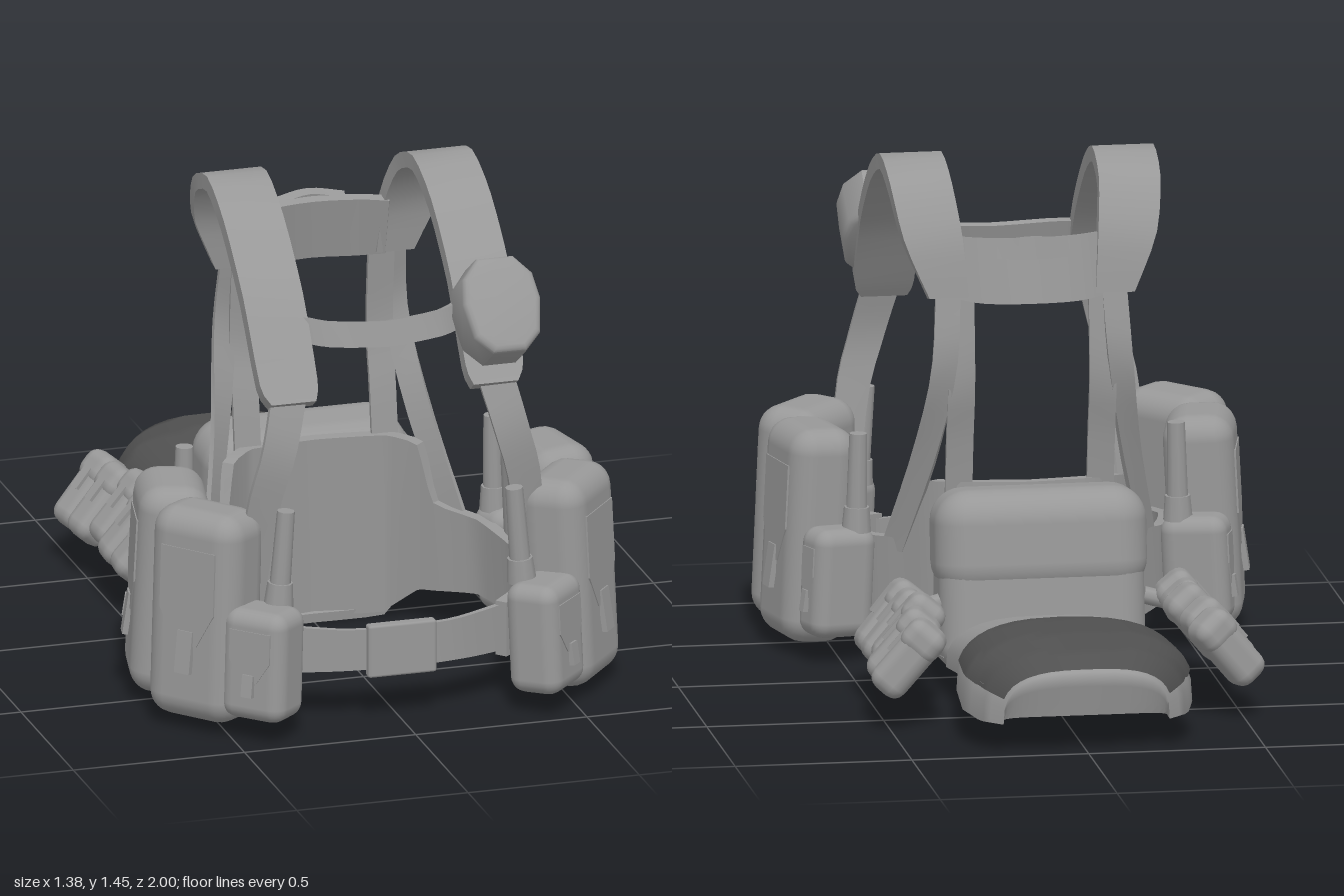
import * as THREE from 'three';
import { toCreasedNormals } from 'three/addons/utils/BufferGeometryUtils.js';
import { RoundedBoxGeometry } from 'three/addons/geometries/RoundedBoxGeometry.js';
import { ParametricGeometry } from 'three/addons/geometries/ParametricGeometry.js';

const cloth = new THREE.MeshStandardMaterial({ color: 0x989898 });
const sheet = new THREE.MeshStandardMaterial({ color: 0x989898, side: THREE.DoubleSide });
const darkSheet = new THREE.MeshStandardMaterial({ color: 0x505050, side: THREE.DoubleSide });

function add(parent, name, geo, pos = [0, 0, 0], rot = [0, 0, 0], mat = cloth) {
  const m = new THREE.Mesh(geo, mat);
  m.name = name;
  m.position.set(...pos);
  m.rotation.set(...rot);
  parent.add(m);
  return m;
}

function addGroup(parent, name, pos, rot) {
  const g = new THREE.Group();
  g.name = name;
  g.position.set(...pos);
  g.rotation.set(...rot, 'YXZ');
  parent.add(g);
  return g;
}

const rounded = (w, h, d, r, seg = 2) => new RoundedBoxGeometry(w, h, d, seg, r);

const polygon = points => new THREE.Shape(points.map(p => new THREE.Vector2(...p)));

// Flat band: each row is a centre [x, y, z] followed by a half-width vector [x, y, z]
function band(rows, thick, steps, tension = 0.5) {
  const curve = o => new THREE.CatmullRomCurve3(
    rows.map(r => new THREE.Vector3(r[o], r[o + 1], r[o + 2])), false, 'catmullrom', tension);
  const path = curve(0), wide = curve(3);
  const rings = [];
  for (let i = 0; i <= steps; i++) {
    const t = i / steps, p = path.getPoint(t), w = wide.getPoint(t);
    const n = path.getTangent(t).cross(w).normalize().multiplyScalar(thick / 2);
    rings.push([[1, 1], [-1, 1], [-1, -1], [1, -1]].map(
      ([a, b]) => p.clone().addScaledVector(w, a).addScaledVector(n, b)));
  }
  const out = [];
  const quad = (a, b, c, d) => [a, b, c, a, c, d].forEach(v => out.push(v.x, v.y, v.z));
  for (let i = 0; i < steps; i++) for (let j = 0; j < 4; j++) {
    const k = (j + 1) % 4, A = rings[i], B = rings[i + 1];
    quad(A[j], A[k], B[k], B[j]);
  }
  const S = rings[0], E = rings[steps];
  quad(S[3], S[2], S[1], S[0]);
  quad(E[0], E[1], E[2], E[3]);
  const g = new THREE.BufferGeometry();
  g.setAttribute('position', new THREE.Float32BufferAttribute(out, 3));
  return toCreasedNormals(g, 0.6);
}

const mirrorRows = rows => [...rows.slice(1).reverse().map(r => [-r[0], r[1], r[2], -r[3], r[4], r[5]]), ...rows];

// Belt pouch facing outward at angle a, leaning in at the top, with flap and closing tab
function pouch(parent, name, pos, a, [w, h, d], r) {
  const g = addGroup(parent, name, pos, [-0.05, a, 0]);
  add(g, 'pouchBody', rounded(w, h, d, r, 3));
  const fw = w / 2 - r * 0.8;
  const outline = polygon([[-fw, h * 0.33], [-fw, 0.02], [-w * 0.12, -h * 0.13],
    [w * 0.12, -h * 0.13], [fw, 0.02], [fw, h * 0.33]]);
  add(g, 'pouchFlap', new THREE.ExtrudeGeometry(outline, { depth: 0.01, bevelEnabled: false }), [0, 0, d / 2 - 0.007]);
  add(g, 'pouchTab', new THREE.BoxGeometry(w * 0.17, h * 0.2, 0.016), [0, -h * 0.16, d / 2 + 0.006], [-0.1, 0, 0]);
}

// Stick with a thicker collar, standing in a small pouch
function stick(parent, pos, tilt) {
  const g = addGroup(parent, 'stick', pos, [0, 0, tilt]);
  add(g, 'stickCollar', new THREE.CylinderGeometry(0.036, 0.042, 0.07, 10), [0, 0.03, 0]);
  add(g, 'stickRod', new THREE.CylinderGeometry(0.025, 0.03, 0.23, 10), [0, 0.16, 0]);
}

function buildSide(side) {
  const W = 0.087;
  // Padded shoulder strap
  add(side, 'shoulderStrap', band([
    [0.295, 0.93, 0.785, 0.065, 0, 0], [0.3, 0.98, 0.75, 0.084, 0, 0], [0.303, 1.19, 0.61, W, 0, 0],
    [0.303, 1.35, 0.43, W, 0, 0], [0.3, 1.42, 0.27, W, 0, 0], [0.295, 1.37, 0.13, W, 0, 0],
    [0.275, 1.24, 0.045, 0.083, 0, 0], [0.235, 1.08, 0.015, 0.055, 0, 0]], 0.045, 21, 0.4));
  // Webbing straps down to the belt
  add(side, 'frontStrap', band([
    [0.3, 0.96, 0.77, 0.05, 0.01, 0], [0.34, 0.8, 0.805, 0.048, 0.01, 0],
    [0.385, 0.62, 0.79, 0.045, 0.01, 0], [0.42, 0.25, 0.73, 0.04, 0, -0.02]], 0.016, 10));
  add(side, 'backStrap', band([
    [0.2, 1.1, 0.015, 0.038, 0, 0], [0.2, 0.85, -0.005, 0.038, 0, 0],
    [0.2, 0.68, 0.025, 0.038, 0, 0], [0.2, 0.5, 0.05, 0.038, 0, 0]], 0.014, 10));
  add(side, 'sideStrap', band([
    [0.235, 1.1, 0.015, 0.035, 0, 0], [0.25, 0.88, -0.01, 0.035, 0, 0.005],
    [0.29, 0.62, 0.08, 0.03, 0, 0.025], [0.36, 0.32, 0.21, 0.025, 0, 0.035]], 0.014, 10));
  // Large and small belt pouches
  pouch(side, 'sidePouch', [0.56, 0.33, 0.455], 1.78, [0.28, 0.61, 0.2], 0.07);
  pouch(side, 'frontPouch', [0.53, 0.33, 0.73], 0.87, [0.29, 0.61, 0.2], 0.07);
  pouch(side, 'smallFrontPouch', [0.412, 0.22, 0.89], 0.8, [0.2, 0.32, 0.16], 0.045);
  pouch(side, 'smallBackPouch', [0.51, 0.225, 0.255], 1.92, [0.135, 0.31, 0.19], 0.045);
  stick(side, [0.355, 0.37, 0.85], 0.08);
  stick(side, [0.455, 0.37, 0.26], 0.02);
  // Row of five small holders beside the rear flap, tops leaning inward
  [[0.425, 0.205, -0.165, 0.05], [0.425, 0.205, -0.285, 0], [0.415, 0.22, -0.4, -0.12],
    [0.445, 0.205, -0.51, -0.2], [0.45, 0.2, -0.63, -0.25]].forEach(([x, y, z, a]) => {
    const g = addGroup(side, 'holder', [x, y, z], [0.08, a, 0.7]);
    add(g, 'holderBody', rounded(0.11, 0.235, 0.112, 0.038));
    add(g, 'holderFlap', rounded(0.12, 0.1, 0.12, 0.038), [0.003, 0.068, 0]);
    add(g, 'holderTab', new THREE.BoxGeometry(0.014, 0.07, 0.03), [0.058, 0.02, 0]);
  });
  add(side, 'holderPin', new THREE.CylinderGeometry(0.025, 0.025, 0.1, 8), [0.335, 0.24, -0.17], [0, 0, 1.3]);
}

export function createModel() {
  const model = new THREE.Group();
  model.name = 'loadHarness';

  for (const s of [1, -1]) {
    const side = new THREE.Group();
    side.name = s > 0 ? 'leftSide' : 'rightSide';
    side.scale.x = s;
    buildSide(side);
    model.add(side);
  }

  // Padded belt, tall at the back
  const pad = [[0, 0.28, 0.02, 0, 0.265, 0.01], [0.2, 0.28, 0.045, 0, 0.265, 0.01], [0.28, 0.315, 0.125, 0, 0.215, 0],
    [0.315, 0.24, 0.17, 0, 0.13, 0], [0.41, 0.24, 0.29, 0, 0.11, 0], [0.455, 0.23, 0.5, 0, 0.1, 0],
    [0.42, 0.215, 0.7, 0, 0.09, 0], [0.31, 0.21, 0.8, 0, 0.08, 0]];
  add(model, 'paddedBelt', band(mirrorRows(pad), 0.035, 42, 0.2));
  // Tray under the rear pack
  const tray = [[0, 0.03, -0.09, 0, 0.018, -0.13], [0.2, 0.03, -0.09, 0, 0.018, -0.125],
    [0.275, 0.1, -0.11, 0, 0.012, -0.09]];
  add(model, 'packTray', band(mirrorRows(tray), 0.028, 12, 0.15));
  const front = [[0, 0.21, 0.855, 0, 0.06, 0], [0.14, 0.21, 0.845, 0, 0.06, 0], [0.25, 0.21, 0.81, 0, 0.065, 0],
    [0.36, 0.21, 0.76, 0, 0.07, 0]];
  add(model, 'frontBelt', band(mirrorRows(front), 0.016, 18));
  add(model, 'buckle', rounded(0.2, 0.155, 0.035, 0.008, 1), [0, 0.207, 0.86]);

  // Yoke joining the shoulder straps behind, with a raised pad
  const yoke = [[0, 1.155, -0.01, 0, 0.09, 0.02], [0.13, 1.155, 0.01, 0, 0.09, 0.02],
    [0.21, 1.16, 0.045, 0, 0.085, 0.02]];
  add(model, 'yoke', band(mirrorRows(yoke), 0.03, 12));
  add(model, 'yokePad', band([[-0.1, 1.22, -0.01, 0, 0.025, 0.006], [0, 1.225, -0.03, 0, 0.032, 0.006],
    [0.1, 1.22, -0.01, 0, 0.025, 0.006]], 0.035, 8));

  // Chest strap and the pouch on the left shoulder
  const chestStrap = [[0, 1.09, 0.72, 0, 0.035, -0.01], [0.16, 1.1, 0.705, 0, 0.035, -0.01],
    [0.24, 1.11, 0.66, 0, 0.035, -0.01]];
  add(model, 'chestStrap', band(mirrorRows(chestStrap), 0.022, 12, 0.3));
  const chest = addGroup(model, 'chestPouch', [0.312, 1.135, 0.75], [-0.6, 0, 0]);
  const face = polygon([[-0.045, 0.12], [0.045, 0.12], [0.085, 0.075], [0.095, 0.01], [0.08, -0.08],
    [0.04, -0.12], [-0.04, -0.12], [-0.08, -0.08], [-0.095, 0.01], [-0.085, 0.075]]);
  const chestBody = new THREE.ExtrudeGeometry(face,
    { depth: 0.12, bevelThickness: 0.022, bevelSize: 0.018, bevelSegments: 3 });
  add(chest, 'chestPouchBody', toCreasedNormals(chestBody, 0.8), [0, 0, -0.06]);

  // Rear pack with a wrapped lid
  const pack = addGroup(model, 'rearPack', [0, 0.3, -0.12], [0.12, 0, 0]);
  add(pack, 'packBody', rounded(0.58, 0.51, 0.25, 0.08, 4));
  add(pack, 'packLid', rounded(0.6, 0.3, 0.262, 0.095, 4), [0, 0.11, -0.004]);

  // Hanging rear flap: arched shell turned down at its end; rows are z, half width, top, rim
  const rows = [[-0.23, 0.28, 0.22, 0.08], [-0.4, 0.275, 0.25, 0.1], [-0.6, 0.31, 0.285, 0.1], [-0.8, 0.325, 0.295, 0.09],
    [-0.95, 0.285, 0.275, 0.08], [-1, 0.235, 0.23, 0.08], [-0.97, 0.235, 0.1, 0.08]];
  const shell = (u, v, lift, p) => {
    const f = Math.min(v * (rows.length - 1), rows.length - 1.0001), i = Math.floor(f);
    const [z, hw, top, rim] = rows[i].map((a, k) => a + (rows[i + 1][k] - a) * (f - i));
    const c = Math.cos(Math.PI * u), s = Math.max(Math.sin(Math.PI * u), 0);
    p.set((hw + lift) * Math.sign(c) * Math.abs(c) ** 0.7, rim + lift + (top - rim) * s ** 0.7,
      z + (z < -0.9 ? 0.035 * c * c : 0));
  };
  add(model, 'rearFlap', new ParametricGeometry((u, v, p) => shell(u, v, 0, p), 16, 18), [0, 0, 0], [0, 0, 0], sheet);
  // Dark cover over the rear half of the flap
  add(model, 'flapCover', new ParametricGeometry((u, v, p) => {
    const a = 0.1 + 0.8 * u, start = 0.233 + 0.117 * Math.abs(Math.cos(Math.PI * a));
    shell(a, start + (0.83 - start) * v, 0.007, p);
  }, 16, 14), [0, 0, 0], [0, 0, 0], darkSheet);

  return model;
}
